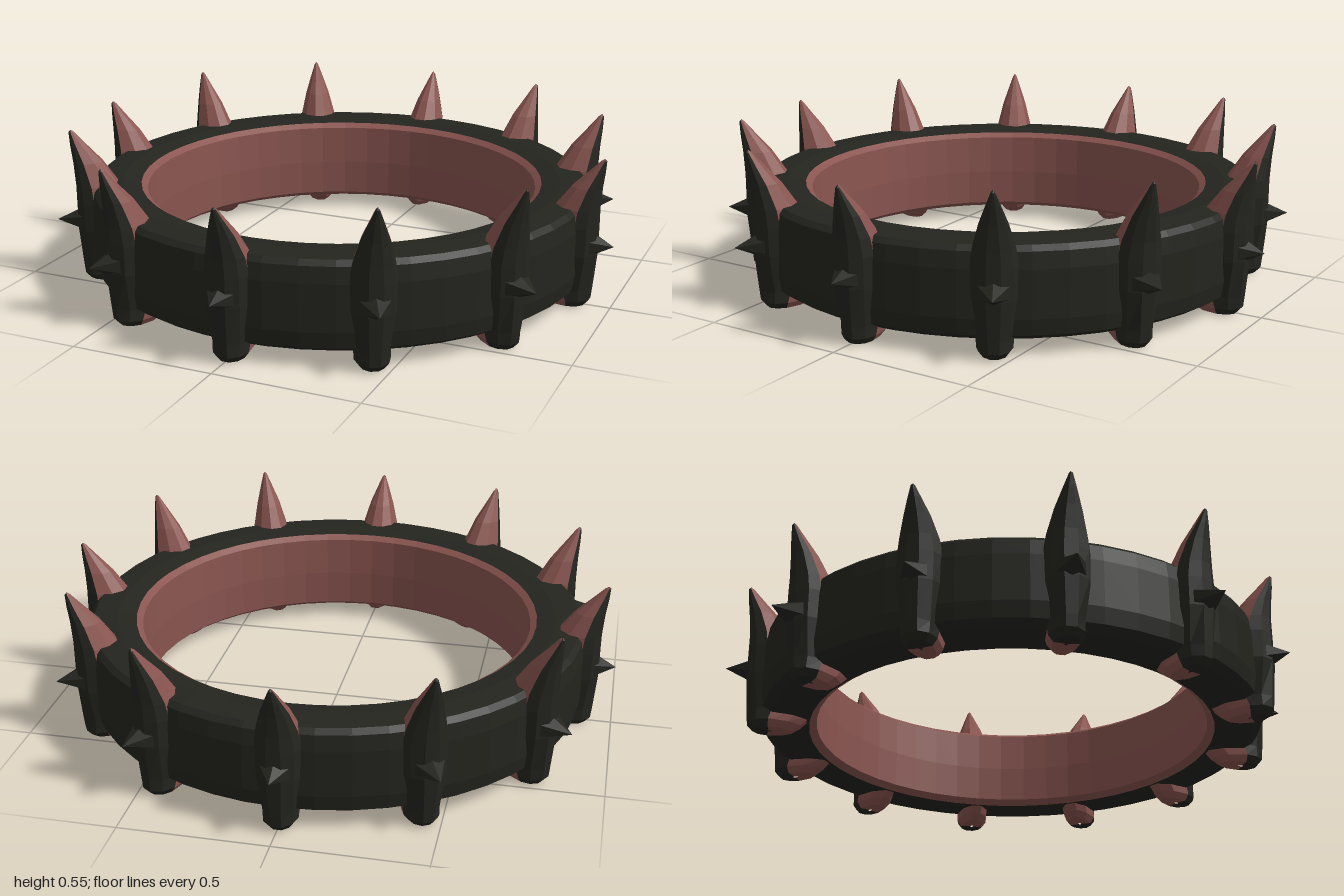
import * as THREE from 'three';

const dark = new THREE.MeshStandardMaterial({ color: 0x24251f, flatShading: true });
const pink = new THREE.MeshStandardMaterial({ color: 0x8a5550, flatShading: true });

function add(parent, name, geometry, material) {
  const mesh = new THREE.Mesh(geometry, material);
  mesh.name = name;
  parent.add(mesh);
  return mesh;
}

// Rib cross-sections: height, inner radius, outer radius, half width
const sections = [
  [0.008, 0.84, 0.86, 0.005],
  [0.008, 0.77, 0.91, 0.042],
  [0.03, 0.74, 0.93, 0.058],
  [0.07, 0.7, 0.935, 0.06],
  [0.2, 0.76, 0.945, 0.075],
  [0.3, 0.77, 0.945, 0.076],
  [0.36, 0.79, 0.945, 0.067],
  [0.44, 0.845, 0.95, 0.046],
  [0.5, 0.9, 0.957, 0.024],
  [0.545, 0.94, 0.96, 0.007],
  [0.553, 0.951, 0.953, 0.001],
];

// Half of a rib, lofted through half ellipses that start at the given angle
function ribHalf(start, topScale) {
  const n = 5, pos = [], index = [];
  sections.forEach(([y, ri, ro, w], j) => {
    const rc = ri + (ro - ri) * 0.62;
    const h = y > 0.36 ? 0.36 + (y - 0.36) * topScale : y;
    for (let i = 0; i <= n; i++) {
      const t = start + (i / n) * Math.PI;
      const s = Math.sin(t);
      pos.push(w * Math.cos(t), h, rc + s * (s > 0 ? ro - rc : rc - ri));
      if (j && i) {
        const d = j * (n + 1) + i, c = d - 1, b = d - n - 1, a = b - 1;
        index.push(a, c, b, b, c, d);
      }
    }
  });
  const g = new THREE.BufferGeometry();
  g.setAttribute('position', new THREE.Float32BufferAttribute(pos, 3));
  g.setIndex(index);
  g.computeVertexNormals();
  return g;
}

function lathe(points) {
  return new THREE.LatheGeometry(points.map(([r, y]) => new THREE.Vector2(r, y)), 48);
}

export function createModel() {
  const model = new THREE.Group();
  model.name = 'spikedRing';

  // Band: dark outside, pink lining
  add(model, 'outerBand', lathe([
    [0.715, 0.052], [0.85, 0.055], [0.88, 0.075], [0.89, 0.13], [0.89, 0.29],
    [0.882, 0.345], [0.865, 0.362], [0.78, 0.366], [0.715, 0.358],
  ]), dark);
  add(model, 'innerLining', lathe([
    [0.715, 0.358], [0.693, 0.342], [0.687, 0.2], [0.69, 0.07], [0.715, 0.052],
  ]), pink);

  // Twelve ribs, each rising to a horn and carrying a small stud
  for (let k = 0; k < 12; k++) {
    const onAxis = k % 3 === 0;
    const rib = new THREE.Group();
    rib.name = 'rib' + (k + 1);
    const topScale = onAxis ? 0.9 : 1.02;
    add(rib, 'ribOuter', ribHalf(0, topScale), dark);
    add(rib, 'hornInner', ribHalf(Math.PI, topScale), pink);

    const length = onAxis ? 0.09 : 0.105;
    const stud = new THREE.ConeGeometry(0.065, length, 6);
    stud.rotateX(Math.PI / 2);
    stud.scale(1, 0.75, 1);
    stud.translate(0, 0.23, 0.91 + length / 2);
    add(rib, 'stud', stud, dark);

    rib.rotation.y = (k * Math.PI) / 6;
    model.add(rib);
  }
  return model;
}
